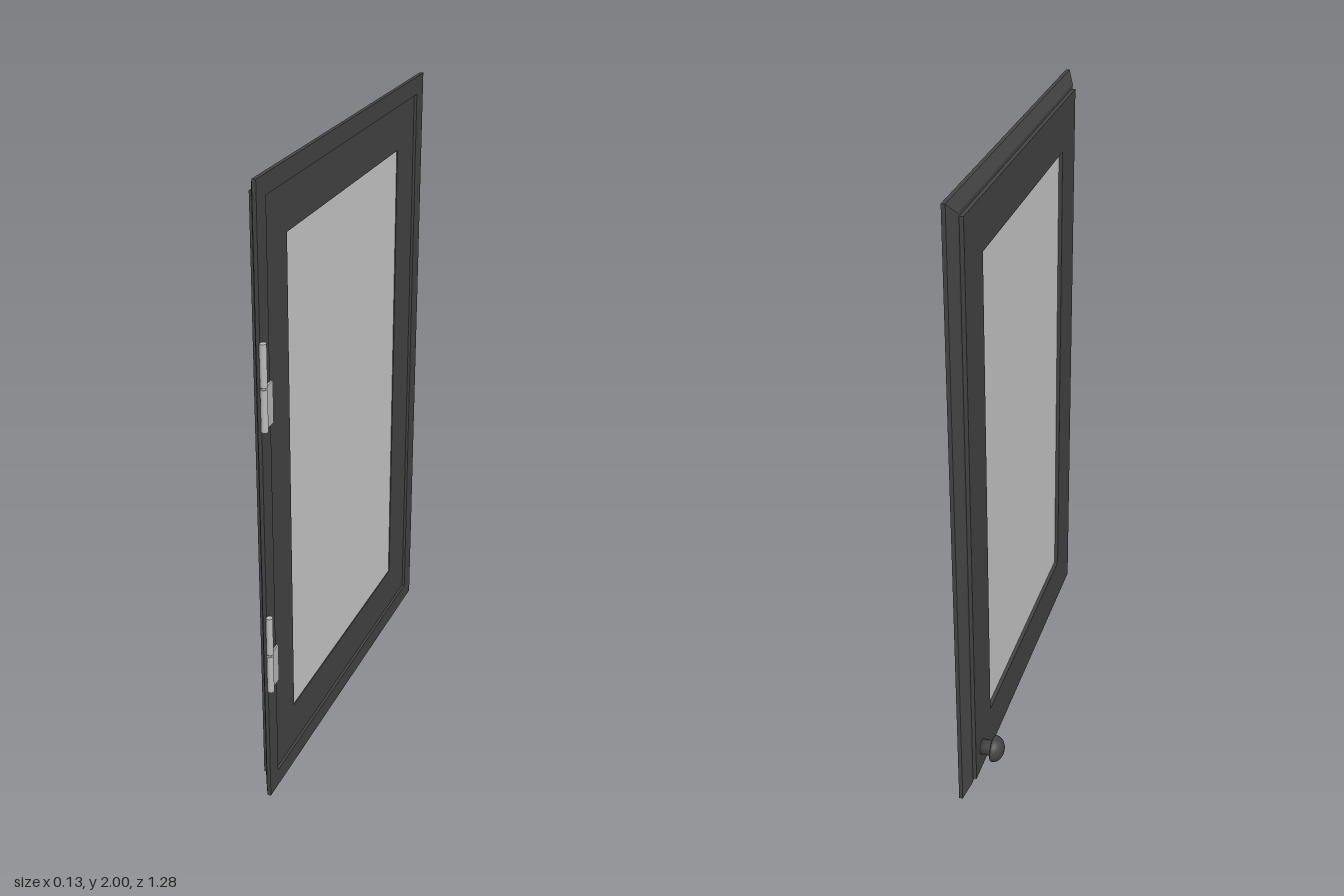
import * as THREE from 'three';

const CZ = -0.003, CY = 1;          // door centre
const HALF_Z = 0.639, HALF_Y = 1;   // door half extents

const dark = new THREE.MeshStandardMaterial({ color: 0x444444 });
const metal = new THREE.MeshStandardMaterial({ color: 0xbbbbbb });
const pane = new THREE.MeshStandardMaterial({ color: 0xcccccc });

function add(parent, name, geometry, material, x = 0, y = 0, z = 0) {
  const mesh = new THREE.Mesh(geometry, material);
  mesh.name = name;
  mesh.position.set(x, y, z);
  parent.add(mesh);
  return mesh;
}

// Mitred rectangular ring: a closed profile of [x, inset from the door edge]
// carried round the four corners; the +x face runs from outside to inside.
function mitredFrame(profile) {
  const corners = [[1, -1], [-1, -1], [-1, 1], [1, 1]];
  const point = ([sz, sy], [x, inset]) => [x, sy * (HALF_Y - inset), sz * (HALF_Z - inset)];
  const pos = [];
  corners.forEach((c, i) => {
    const d = corners[(i + 1) % 4];
    profile.forEach((p, k) => {
      const q = profile[(k + 1) % profile.length];
      const [a, b, e, f] = [point(c, p), point(d, p), point(d, q), point(c, q)];
      pos.push(...a, ...b, ...e, ...a, ...e, ...f);
    });
  });
  const g = new THREE.BufferGeometry();
  g.setAttribute('position', new THREE.Float32BufferAttribute(pos, 3));
  g.computeVertexNormals();
  return g;
}

export function createModel() {
  const model = new THREE.Group();
  model.name = 'cabinetDoor';

  // Bevelled outer rim, standing proud of the inner frame on the +x face
  add(model, 'outerRim', mitredFrame([
    [0.049, 0], [0.049, 0.058], [0.017, 0.058], [0.017, 0.036], [0.037, 0],
  ]), dark, 0, CY, CZ);

  // Inner frame around the glass
  add(model, 'innerFrame', mitredFrame([
    [0.04, 0.05], [0.04, 0.206], [0.033, 0.206], [0.033, 0.207],
    [0.005, 0.207], [0.005, 0.048], [0.03, 0.048],
  ]), dark, 0, CY, CZ);

  // Glass, nearly flush on the +x face and recessed on the -x face
  add(model, 'glassPane', new THREE.BoxGeometry(0.02, 1.63, 0.9), pane, 0.027, CY, CZ);

  // Turned knob on the -x face
  const knobProfile = [
    [0, -0.002], [0.025, -0.002], [0.025, 0.033], [0.031, 0.036], [0.041, 0.036], [0.043, 0.039],
    [0.042, 0.047], [0.037, 0.057], [0.029, 0.065], [0.017, 0.071], [0, 0.073],
  ].map(([r, h]) => new THREE.Vector2(r, h));
  const knob = add(model, 'knob', new THREE.LatheGeometry(knobProfile, 32), dark, 0.005, 0.13, -0.53);
  knob.rotation.z = Math.PI / 2;

  // Two hinges: a pair of barrels each, with a leaf on the lower one
  for (const y of [0.405, 1.283]) {
    const hinge = new THREE.Group();
    hinge.name = 'hinge';
    hinge.position.y = y;
    model.add(hinge);
    const barrel = new THREE.CylinderGeometry(0.0105, 0.0105, 0.129, 20);
    add(hinge, 'lowerBarrel', barrel, metal, 0.056, 0.0645, 0.632);
    add(hinge, 'upperBarrel', barrel, metal, 0.056, 0.2, 0.632);
    add(hinge, 'hingePin', new THREE.CylinderGeometry(0.006, 0.006, 0.25, 12), metal, 0.056, 0.132, 0.632);
    add(hinge, 'hingeLeaf', new THREE.BoxGeometry(0.007, 0.129, 0.06), metal, 0.0515, 0.0645, 0.601);
  }
  return model;
}
